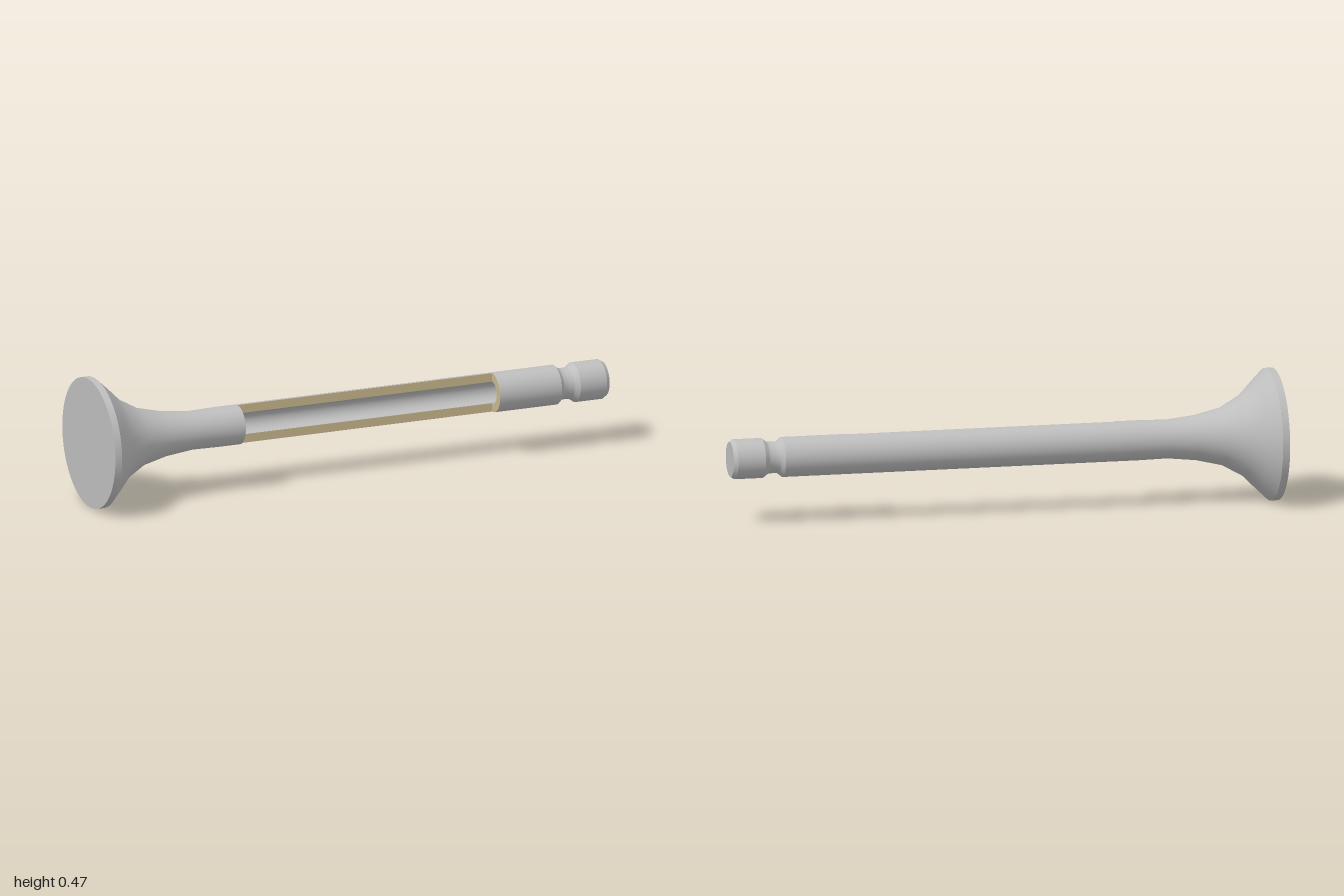
import * as THREE from 'three';

export function createModel() {
  const model = new THREE.Group();
  const steel = new THREE.MeshStandardMaterial({ color: 0xbebebe });
  steel.name = 'steel';
  const section = new THREE.MeshStandardMaterial({ color: 0xc9b88e });
  section.name = 'sectionTan';

  const AXIS = 0.237;             // height of the valve axis
  const R = 0.0715, BORE = 0.04;  // stem and bore radii
  const CUT0 = -0.42, CUT1 = 0.57; // ends of the cutaway window
  const BORE0 = -0.75, BORE1 = 0.72;

  function add(name, geometry, material) {
    const mesh = new THREE.Mesh(geometry, material);
    mesh.name = name;
    mesh.position.y += AXIS;
    model.add(mesh);
    return mesh;
  }

  // Revolves [x, radius] points about the x axis; half keeps only the z < 0 side.
  // Points running towards +x face outward, towards -x face inward.
  function turned(name, points, half = false) {
    const profile = points.map(([x, r]) => new THREE.Vector2(r, x));
    const g = half
      ? new THREE.LatheGeometry(profile, 48, Math.PI / 2, Math.PI)
      : new THREE.LatheGeometry(profile, 96);
    g.rotateZ(-Math.PI / 2);
    return add(name, g, steel);
  }

  // Valve head
  turned('headFace', [[-1, 0], [-1, 0.237]]);
  turned('headRim', [[-1, 0.237], [-0.974, 0.237]]);
  turned('headFlare', [
    [-0.974, 0.237], [-0.93, 0.195], [-0.882, 0.147], [-0.806, 0.104],
    [-0.71, 0.081], [-0.604, 0.0695], [-0.5, R], [CUT0, R],
  ]);

  // Stem, open along the front between the two cut ends
  turned('stemCutaway', [[CUT0, R], [CUT1, R]], true);
  turned('stemUpper', [[CUT1, R], [0.811, R]]);

  // Keeper groove, each band with its own crisp edges
  turned('grooveShoulder', [[0.811, R], [0.822, 0.062]]);
  turned('groove', [[0.822, 0.062], [0.828, 0.057], [0.845, 0.056], [0.862, 0.057], [0.868, 0.06]]);
  turned('grooveFarShoulder', [[0.868, 0.06], [0.884, R]]);

  // Stem tip
  turned('tip', [[0.884, R], [0.986, R]]);
  turned('tipChamfer', [[0.986, R], [1, 0.0626]]);
  turned('tipFace', [[1, 0.0626], [1, 0]]);

  // Bore: half wall in the window, full wall and floor inside each end
  turned('boreWall', [[CUT1, BORE], [CUT0, BORE]], true);
  turned('boreHeadEnd', [[CUT0, BORE], [BORE0, BORE]]);
  turned('boreHeadFloor', [[BORE0, BORE], [BORE0, 0]]);
  turned('boreTipEnd', [[BORE1, BORE], [CUT1, BORE]]);
  turned('boreTipFloor', [[BORE1, 0], [BORE1, BORE]]);

  // Flat cut faces along the window, above and below the bore
  for (const side of [1, -1]) {
    const strip = add(side > 0 ? 'cutFaceUpper' : 'cutFaceLower',
      new THREE.PlaneGeometry(CUT1 - CUT0, R - BORE), section);
    strip.position.x = (CUT0 + CUT1) / 2;
    strip.position.y += side * (R + BORE) / 2;
  }

  // Half-ring cut faces closing the window at both ends
  const headEnd = new THREE.RingGeometry(BORE, R, 48, 1, Math.PI / 2, Math.PI);
  add('cutEndHead', headEnd.rotateY(Math.PI / 2), section).position.x = CUT0;
  const tipEnd = new THREE.RingGeometry(BORE, R, 48, 1, -Math.PI / 2, Math.PI);
  add('cutEndTip', tipEnd.rotateY(-Math.PI / 2), section).position.x = CUT1;

  return model;
}
